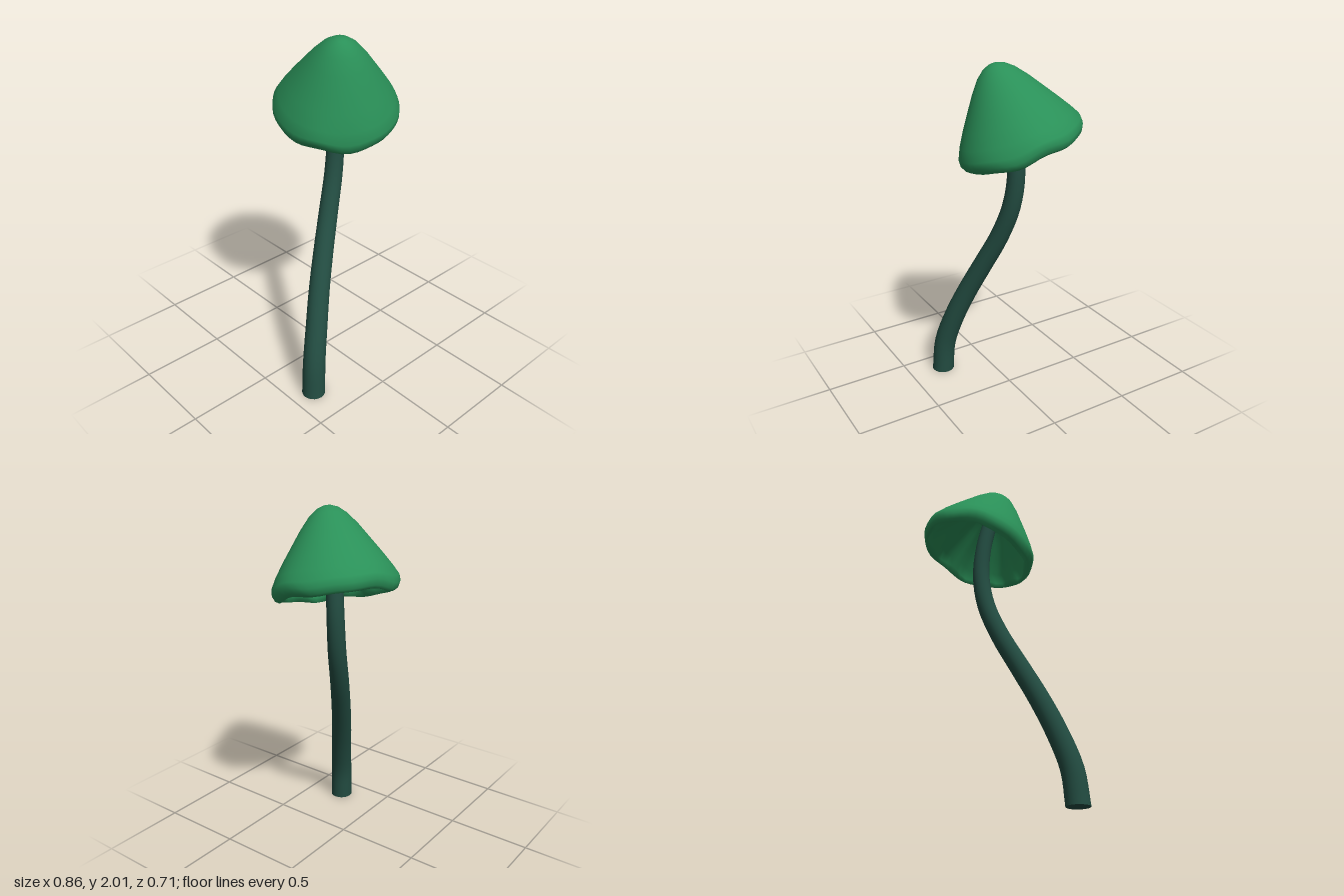
import * as THREE from 'three';
import { mergeVertices } from 'three/addons/utils/BufferGeometryUtils.js';

const V3 = (x, y, z) => new THREE.Vector3(x, y, z);
const UP = V3(0, 1, 0);

// Smooth normals without a seam
function smooth(geometry) {
  geometry.deleteAttribute('uv');
  geometry.deleteAttribute('normal');
  const merged = mergeVertices(geometry, 1e-4);
  merged.computeVertexNormals();
  return merged;
}

function part(name, geometry, color) {
  const mesh = new THREE.Mesh(geometry, new THREE.MeshStandardMaterial({ color }));
  mesh.name = name;
  return mesh;
}

// Tapered stem: cylinder rings carried along a curve
function stemGeometry() {
  const curve = new THREE.CatmullRomCurve3([
    V3(-0.36, 0, 0.283), V3(-0.342, 0.2, 0.27), V3(-0.285, 0.4, 0.228),
    V3(-0.21, 0.6, 0.17), V3(-0.12, 0.8, 0.108), V3(-0.028, 1, 0.05),
    V3(0.043, 1.2, 0.013), V3(0.072, 1.4, 0), V3(0.065, 1.6, 0.013), V3(0.04, 1.8, 0.05),
  ]);
  const rows = 36;
  function bend(geometry) {
    const pos = geometry.attributes.position;
    const q = new THREE.Quaternion();
    for (let i = 0; i < pos.count; i++) {
      const t = pos.getY(i) + 0.5;
      const radius = THREE.MathUtils.lerp(0.068, 0.045, t);
      const tangent = t < 0.001 ? UP : curve.getTangent(t);
      q.setFromUnitVectors(UP, tangent);
      const p = V3(pos.getX(i) * radius, 0, pos.getZ(i) * radius)
        .applyQuaternion(q).add(curve.getPoint(t));
      pos.setXYZ(i, p.x, p.y, p.z);
    }
    return geometry;
  }
  return smooth(bend(new THREE.CylinderGeometry(1, 1, 1, 20, rows, true)));
}

// Hollow cap: inner wall down to the curled rim, then the outer wall up to the tip
function capGeometry() {
  const inner = [
    [0, 0.34], [0.06, 0.335], [0.11, 0.3], [0.17, 0.22], [0.23, 0.13], [0.28, 0.05], [0.305, 0],
  ];
  const outer = [
    [0.315, -0.032], [0.335, -0.02], [0.349, 0.01], [0.347, 0.045], [0.318, 0.1], [0.27, 0.175],
    [0.215, 0.255], [0.16, 0.335], [0.105, 0.403], [0.06, 0.44], [0.025, 0.454], [0, 0.457],
  ];
  const profile = [...inner, ...outer].map(([r, h]) => new THREE.Vector2(r, h));
  const segments = 48;
  const geometry = new THREE.LatheGeometry(profile, segments);
  const pos = geometry.attributes.position;
  for (let i = 0; i < pos.count; i++) {
    const row = i % profile.length;
    const x = pos.getX(i), y = pos.getY(i), z = pos.getZ(i);
    const a = Math.atan2(z, x);
    const r = Math.hypot(x, z);
    // Wavy rim, fading towards the tip
    const rim = Math.max(0, 1 - Math.abs(y) / 0.12);
    const wave = rim * (0.009 * Math.sin(5 * a + 1) + 0.006 * Math.sin(8 * a));
    // Broad radial folds inside
    const fold = row < inner.length && r > 0.08 ? 1 + 0.045 * Math.cos(9 * a) : 1;
    pos.setXYZ(i, x * fold, y + wave, z * fold);
  }
  return smooth(geometry);
}

export function createModel() {
  const model = new THREE.Group();
  model.name = 'mushroom';
  const green = 0x2a9058, dark = 0x234d42;

  model.add(part('stem', stemGeometry(), dark));

  // Flat underside of the stem
  const base = part('stemBase', new THREE.CircleGeometry(0.068, 20), dark);
  base.rotation.x = Math.PI / 2;
  base.position.set(-0.36, 0, 0.283);
  model.add(base);

  // Tilted cap with a small collar where the stem enters it
  const head = new THREE.Group();
  head.name = 'head';
  head.add(part('cap', capGeometry(), green));
  const collar = part('collar', new THREE.TorusGeometry(0.065, 0.02, 8, 24), green);
  collar.rotation.x = Math.PI / 2;
  collar.position.y = 0.26;
  head.add(collar);
  head.position.set(0.09, 1.57, -0.02);
  head.quaternion.setFromUnitVectors(UP, V3(-0.2, 1, 0.29).normalize());
  model.add(head);

  return model;
}
